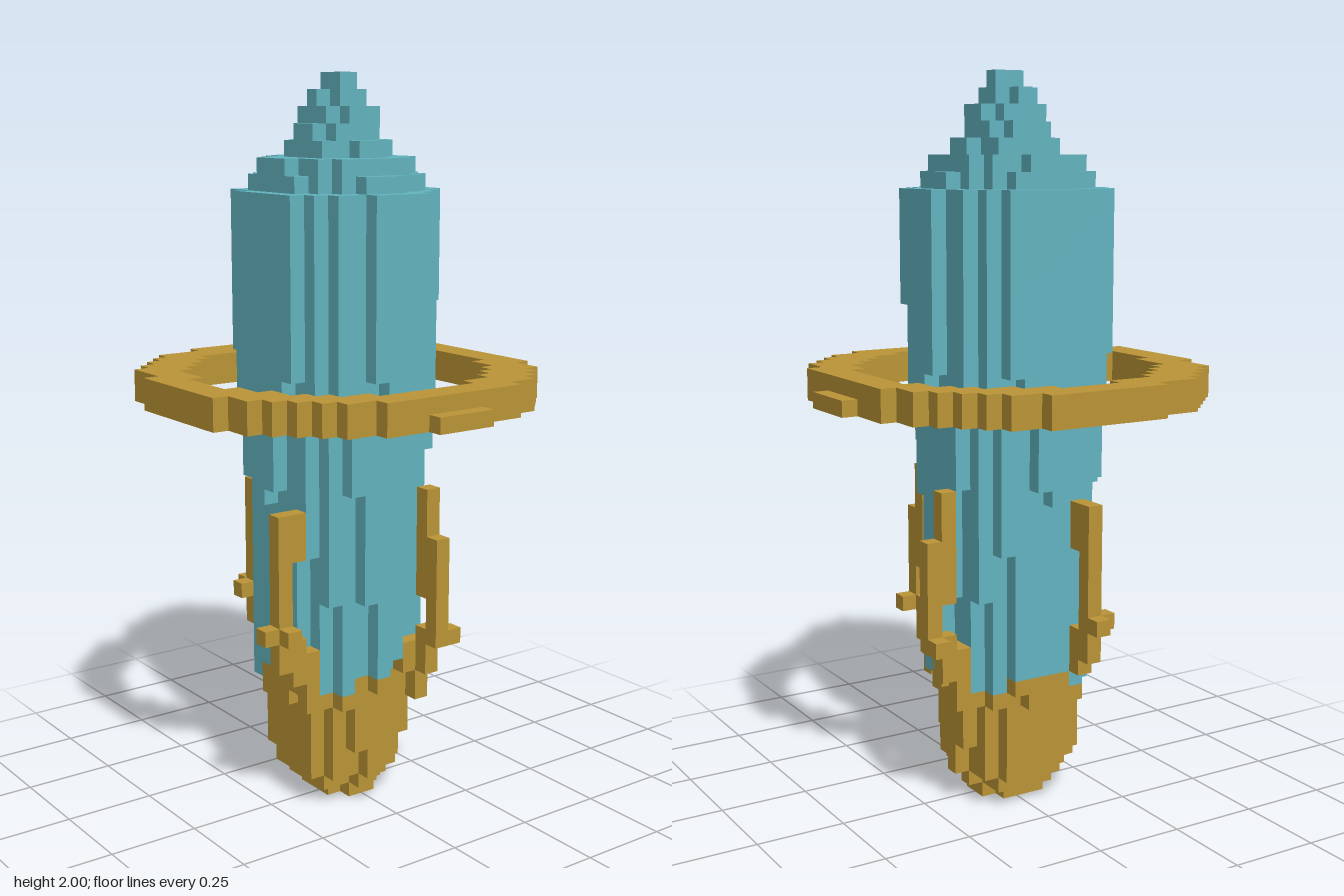
import * as THREE from 'three';

const U = 2 / 46; // edge of one cube
const key = (c) => c.join();

// radius of the round body per layer: [layer, radius in cubes]
const PROFILE = [
  [0, 2.0], [1, 2.9], [2, 3.82], [6, 4.15], [7, 4.4], [8, 4.82], [19, 5.1], [20, 5.22],
  [24, 5.5], [25, 5.81], [32, 6.1], [38, 6.1], [39, 4.95], [40, 4.4], [41, 3.0],
  [42, 2.4], [43, 2.0], [44, 1.4], [45, 0.95],
];

function radiusAt(k) {
  const i = Math.max(1, PROFILE.findIndex((p) => p[0] >= k));
  const [k0, r0] = PROFILE[i - 1], [k1, r1] = PROFILE[i];
  return r0 + ((r1 - r0) * (k - k0)) / (k1 - k0);
}

// squared distance of a cube from the slightly shifted axis
const dist2 = (x, z) => (x + 0.8) ** 2 + (z + 0.2) ** 2;

// mesh of the exposed faces of a set of cubes
function cubeMesh(name, cells, material, solid) {
  const pos = [], index = [];
  for (const c of cells) {
    for (let a = 0; a < 3; a++) {
      for (const s of [-1, 1]) {
        const next = [...c];
        next[a] += s;
        if (solid.has(key(next))) continue;
        const base = pos.length / 3;
        for (const [p, q] of [[0, 0], [1, 0], [1, 1], [0, 1]]) {
          const v = [...c];
          v[a] += s > 0 ? 1 : 0;
          v[(a + 1) % 3] += p;
          v[(a + 2) % 3] += q;
          pos.push(v[0] * U, v[1] * U, v[2] * U);
        }
        const order = s > 0 ? [0, 1, 2, 0, 2, 3] : [0, 2, 1, 0, 3, 2];
        index.push(...order.map((i) => base + i));
      }
    }
  }
  let geo = new THREE.BufferGeometry();
  geo.setAttribute('position', new THREE.Float32BufferAttribute(pos, 3));
  geo.setIndex(index);
  geo = geo.toNonIndexed();
  geo.computeVertexNormals();
  const mesh = new THREE.Mesh(geo, material);
  mesh.name = name;
  return mesh;
}

export function createModel() {
  const group = new THREE.Group();
  group.name = 'ringedCrystal';
  const teal = new THREE.MeshStandardMaterial({ color: 0x63b5c1 });
  teal.name = 'crystal teal';
  const gold = new THREE.MeshStandardMaterial({ color: 0xbc9637 });
  gold.name = 'old gold';

  const solid = new Set();
  const parts = { crystal: [], socket: [], ring: [], prongs: [] };
  const add = (part, x, y, z) => {
    const c = [x, y, z];
    if (solid.has(key(c))) return;
    solid.add(key(c));
    parts[part].push(c);
  };

  // crystal shaft and tip above a rounded socket with a stepped rim
  for (let k = 0; k < 46; k++) {
    const r2 = radiusAt(k) ** 2;
    for (let x = -8; x < 8; x++) {
      for (let z = -8; z < 8; z++) {
        if (dist2(x, z) > r2) continue;
        const nearAxis = Math.min(Math.abs(x + 0.5), Math.abs(z + 0.5)) < 2;
        add(k < 8 || (k === 8 && nearAxis) ? 'socket' : 'crystal', x, k, z);
      }
    }
  }

  // floating ring, two layers
  for (let x = -12; x < 12; x++) {
    for (let z = -12; z < 12; z++) {
      const d = dist2(x, z);
      if (d < 89 || d > 142.6) continue;
      add('ring', x, 26, z);
      if (x < 11 && z > -12) add('ring', x, 27, z);
    }
  }

  // four prongs in a pinwheel: [distance out, sideways, first layer, end layer]
  const low = [[4, 2, 7, 11], [4, 1, 9, 11], [5, 2, 9, 12], [5, 2, 17, 20],
    [6, 2, 10, 20], [6, 3, 12, 13], [7, 2, 12, 13]];
  const high = [[4, 2, 7, 11], [4, 1, 9, 11], [5, 2, 9, 12], [5, 2, 14, 21],
    [6, 2, 11, 18], [6, 3, 11, 12]];
  for (let i = 0; i < 4; i++) {
    // order: right (+x), back, left, front
    const shape = i < 2 ? high : low;
    for (const [d, t, k0, k1] of shape) {
      let x = d + 0.5, z = -(t + 0.5);
      for (let n = 0; n < i; n++) [x, z] = [z, -x];
      for (let k = k0; k < k1; k++) add('prongs', Math.floor(x), k, Math.floor(z));
    }
  }

  for (const [name, cells] of Object.entries(parts)) {
    group.add(cubeMesh(name, cells, name === 'crystal' ? teal : gold, solid));
  }
  return group;
}
